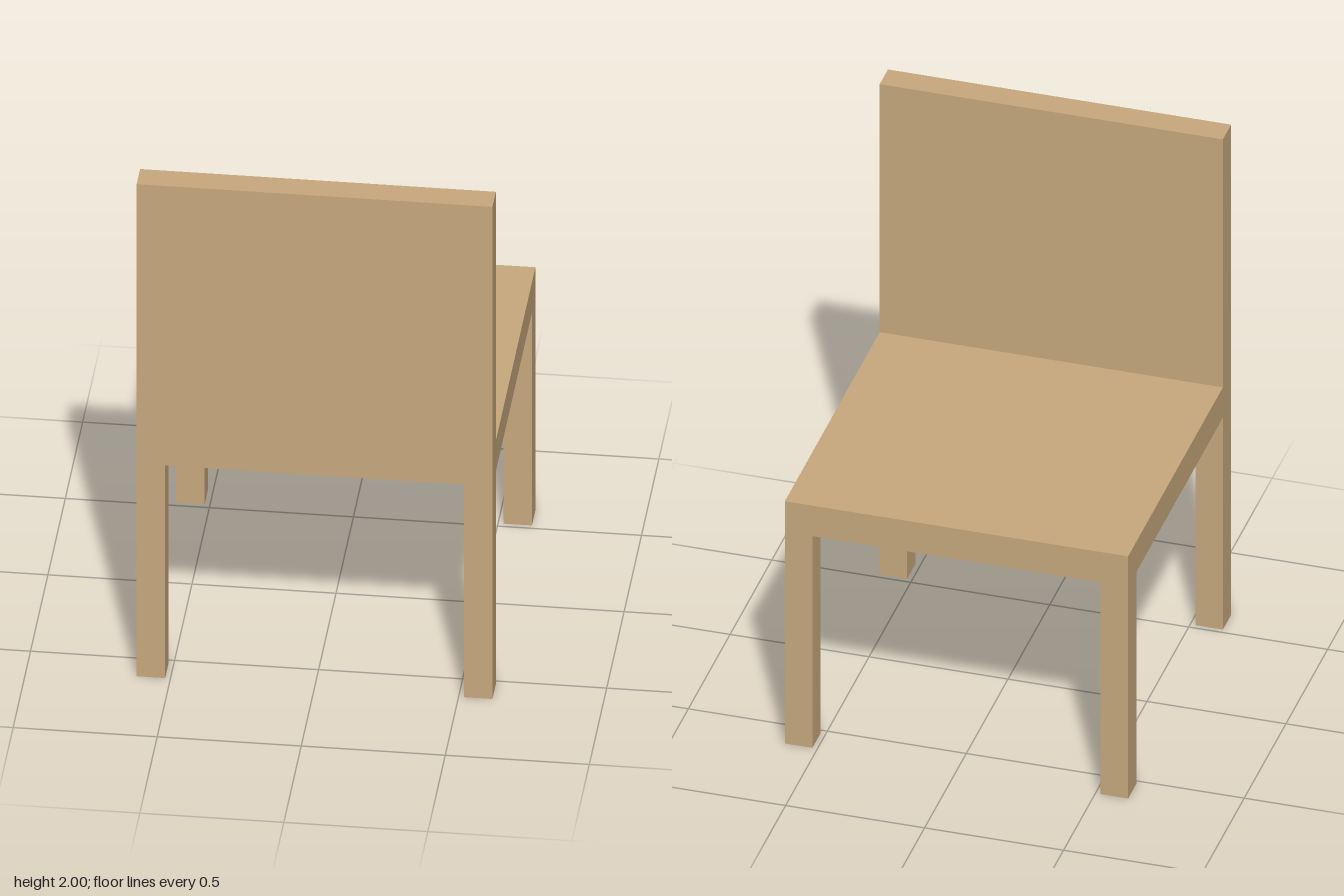
import * as THREE from 'three';

const WIDTH = 1.235;      // seat width and depth
const POST = 0.099;       // leg and backrest thickness
const LEG_HEIGHT = 0.864;
const SEAT_TOP = 0.988;
const TOTAL_HEIGHT = 2;

export function createModel() {
  const chair = new THREE.Group();
  chair.name = 'chair';
  const wood = new THREE.MeshStandardMaterial({ color: 0xc8a97e });

  // Box standing on height y
  const addBox = (name, w, h, d, x, y, z) => {
    const mesh = new THREE.Mesh(new THREE.BoxGeometry(w, h, d), wood);
    mesh.name = name;
    mesh.position.set(x, y + h / 2, z);
    chair.add(mesh);
  };

  const edge = (WIDTH - POST) / 2;

  // Seat slab
  addBox('seat', WIDTH, SEAT_TOP - LEG_HEIGHT, WIDTH, 0, LEG_HEIGHT, 0);

  // Backrest panel, rising from the +z edge of the seat
  addBox('backrest', WIDTH, TOTAL_HEIGHT - SEAT_TOP, POST, 0, SEAT_TOP, edge);

  // Four square legs flush with the seat corners
  for (const [side, sx] of [['left', 1], ['right', -1]]) {
    for (const [end, sz] of [['Front', 1], ['Back', -1]]) {
      addBox(`${side}${end}Leg`, POST, LEG_HEIGHT, POST, sx * edge, 0, sz * edge);
    }
  }

  return chair;
}
